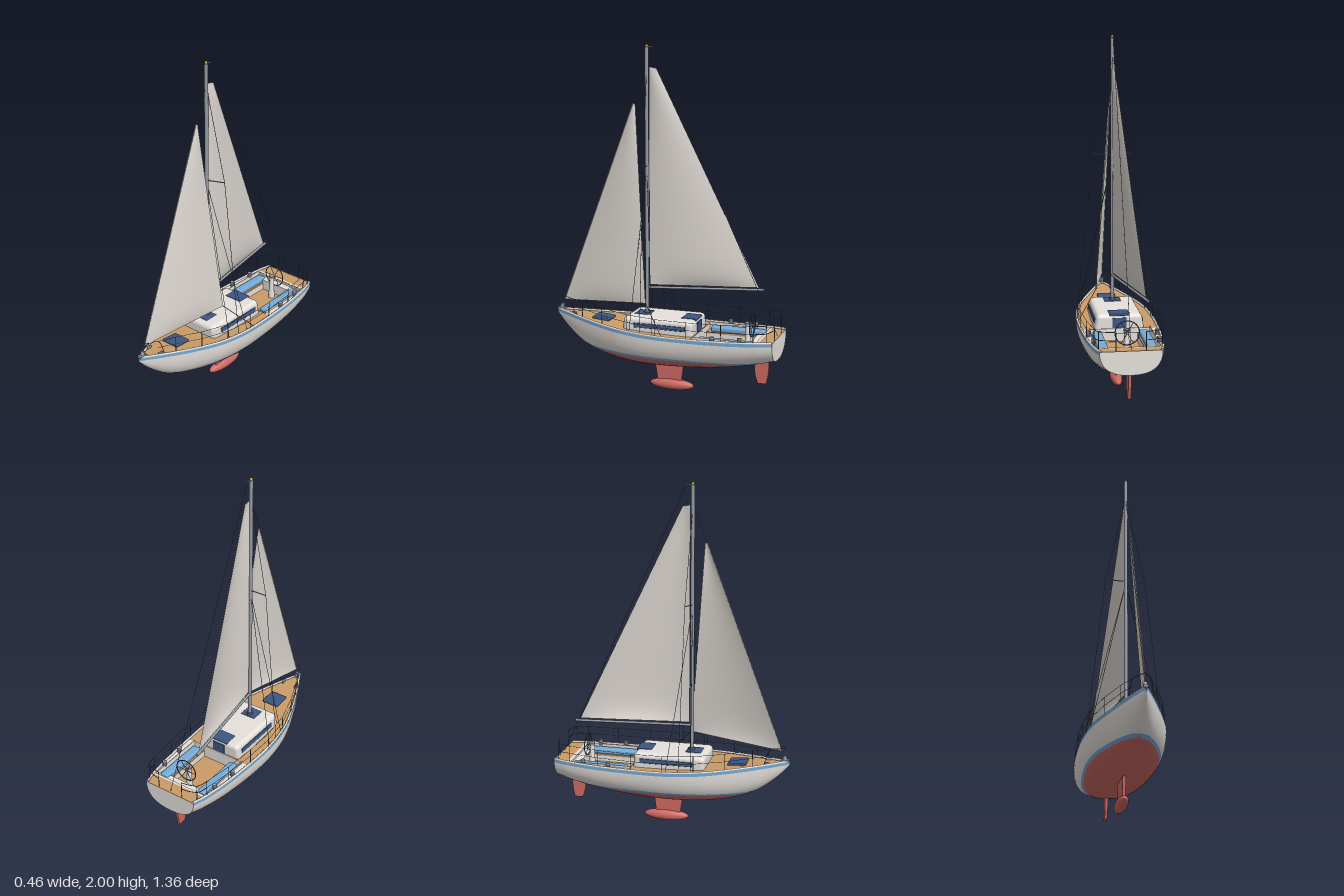
import * as THREE from 'three';
import { mergeVertices } from 'three/addons/utils/BufferGeometryUtils.js';
import { RoundedBoxGeometry } from 'three/addons/geometries/RoundedBoxGeometry.js';

const mat = (name, color, side = THREE.FrontSide) => new THREE.MeshStandardMaterial({ name, color, side });
const V = (x, y, z) => new THREE.Vector3(x, y, z);

// Smooth curve through [position, value] pairs
function curve(p) {
  const slope = i => {
    const a = p[Math.max(i - 1, 0)], b = p[Math.min(i + 1, p.length - 1)];
    return (b[1] - a[1]) / (b[0] - a[0]);
  };
  return z => {
    let i = 0;
    while (i < p.length - 2 && z > p[i + 1][0]) i++;
    const h = p[i + 1][0] - p[i][0], t = Math.min(1, Math.max(0, (z - p[i][0]) / h));
    const t2 = t * t, t3 = t2 * t;
    return p[i][1] * (2 * t3 - 3 * t2 + 1) + p[i + 1][1] * (3 * t2 - 2 * t3)
      + h * (slope(i) * (t3 - 2 * t2 + t) + slope(i + 1) * (t3 - t2));
  };
}

// Hull lines along z: half beam, deck edge height, bottom height
const STERN = -0.682, BOW = 0.682, POWER = 2.45;
const beam = curve([[-0.682, 0.167], [-0.6, 0.189], [-0.4, 0.214], [-0.1, 0.228], [0.05, 0.224], [0.2, 0.203],
  [0.3, 0.173], [0.4, 0.135], [0.5, 0.092], [0.6, 0.045], [0.682, 0.003]]);
const sheer = curve([[-0.682, 0.388], [-0.4, 0.379], [-0.1, 0.378], [0.1, 0.384], [0.4, 0.405], [0.682, 0.432]]);
const bottom = curve([[-0.682, 0.256], [-0.55, 0.223], [-0.4, 0.196], [-0.2, 0.174], [0, 0.166], [0.15, 0.17],
  [0.3, 0.187], [0.4, 0.21], [0.5, 0.25], [0.6, 0.325], [0.66, 0.385], [0.682, 0.412]]);

// Surface from a rule f(u, v) -> [x, y, z]
function sheet(f, nu, nv) {
  const pos = [], idx = [], w = nu + 1;
  for (let j = 0; j <= nv; j++) for (let i = 0; i <= nu; i++) pos.push(...f(i / nu, j / nv));
  for (let j = 0; j < nv; j++) for (let i = 0; i < nu; i++) {
    const a = j * w + i;
    idx.push(a, a + 1, a + w, a + 1, a + w + 1, a + w);
  }
  const g = new THREE.BufferGeometry();
  g.setAttribute('position', new THREE.Float32BufferAttribute(pos, 3));
  g.setIndex(idx);
  return g;
}

export function createModel() {
  const D = THREE.DoubleSide;
  const white = mat('hullWhite', 0xe6e1dc, D), sailCloth = mat('sailCloth', 0xdad4ce, D), teak = mat('teak', 0xcb9c66, D);
  const blue = mat('lightBlue', 0x74acda, D), navy = mat('navyGlass', 0x3c5683), red = mat('antifoulRed', 0xcd6963, D);
  const metal = mat('metal', 0x959aa3), dark = mat('darkWire', 0x545a65), rope = mat('rustRope', 0xa05a48), gold = mat('gold', 0xd6a044);
  const boat = new THREE.Group();
  boat.name = 'sailboat';

  const add = (name, geo, m, x = 0, y = 0, z = 0) => {
    const o = new THREE.Mesh(geo, m);
    o.name = name;
    o.position.set(x, y, z);
    boat.add(o);
    return o;
  };
  const box = (name, m, x0, x1, y0, y1, z0, z1) =>
    add(name, new THREE.BoxGeometry(x1 - x0, y1 - y0, z1 - z0), m, (x0 + x1) / 2, (y0 + y1) / 2, (z0 + z1) / 2);
  const rod = (name, a, b, r, m = dark, sides = 6) => {
    const o = add(name, new THREE.CylinderGeometry(r, r, a.distanceTo(b), sides), m);
    o.position.lerpVectors(a, b, 0.5);
    o.quaternion.setFromUnitVectors(V(0, 1, 0), b.clone().sub(a).normalize());
    return o;
  };
  const tube = (name, pts, r, m) => add(name, new THREE.TubeGeometry(new THREE.CatmullRomCurve3(pts), pts.length * 6, r, 6), m);

  // Hull skin: rows run from one deck edge round the bottom to the other
  const N = 8, half = 2 * N + 2;
  const rowY = (r, z) => {
    const s = sheer(z), k = bottom(z), top = Math.max(s - 0.018, k), boot = Math.max(0.25, k), low = Math.max(0.235, k);
    if (r === 0) return s;
    if (r <= N + 1) { const t = (r - 1) / N; return top + (boot - top) * (1 - (1 - t) ** 2); }
    const t = (r - N - 2) / N;
    return low + (k - low) * (1 - (1 - t) ** 2);
  };
  const width = (y, z) => {
    const t = Math.min(1, (sheer(z) - y) / (sheer(z) - bottom(z)));
    return beam(z) * Math.max(0, 1 - t ** POWER) ** (1 / POWER);
  };
  const NU = 90;
  let hull = sheet((u, v) => {
    const z = STERN + (BOW - STERN) * u, j = Math.round(v * half * 2);
    const y = rowY(j <= half ? j : 2 * half - j, z);
    return [(j <= half ? 1 : -1) * width(y, z), y, z];
  }, NU, half * 2);
  for (let j = 0; j < half * 2; j++) {
    const r = j < half ? j : 2 * half - 1 - j;
    hull.addGroup(j * NU * 6, NU * 6, r === 0 || r === N + 1 ? 1 : r <= N ? 0 : 2);
  }
  hull = mergeVertices(hull, 1e-5);
  hull.computeVertexNormals();
  add('hull', hull, [white, blue, red]);

  const surface = (name, f, nu, nv, m) => {
    const g = sheet(f, nu, nv);
    g.computeVertexNormals();
    return add(name, g, m);
  };
  surface('transom', (u, v) => {
    const c = Math.cos(Math.PI * u), s = sheer(STERN), k = bottom(STERN);
    const low = s - (s - k) * Math.max(0, 1 - Math.abs(c) ** POWER) ** (1 / POWER);
    return [beam(STERN) * c, low + (s - low) * v, STERN];
  }, 32, 1, white);

  // Decks, leaving a cockpit well open
  const WELL = 0.17, Z0 = -0.585, Z1 = -0.22;
  const deck = (name, z0, z1, xa, xb, m) => surface(name, (u, v) => {
    const z = z0 + (z1 - z0) * u, a = xa(z), b = xb(z);
    return [a + (b - a) * v, sheer(z) - 0.004, z];
  }, 30, 1, m);
  const port = z => beam(z) - 0.001, starboard = z => -port(z);
  deck('foredeck', Z1, 0.67, starboard, port, teak);
  deck('aftDeck', STERN, -0.6, starboard, port, teak);
  deck('aftCoaming', -0.6, Z0, starboard, port, white);
  deck('sideDeck', Z0, Z1, () => WELL, port, white);
  deck('sideDeck', Z0, Z1, starboard, () => -WELL, white);

  // Cockpit
  box('cockpitFloor', teak, -0.11, 0.11, 0.29, 0.3, Z0, Z1);
  box('cockpitAftSeat', white, -0.165, 0.165, 0.34, 0.365, Z0, -0.54);
  box('aftSeatFront', white, -0.1, 0.1, 0.3, 0.34, -0.55, -0.54);
  for (const z of [Z0, Z1]) box('cockpitBulkhead', white, -0.1, 0.1, 0.3, 0.378, z - 0.002, z + 0.002);
  for (const s of [-1, 1]) {
    const sideBox = (name, m, a, b, ...rest) => box(name, m, Math.min(a * s, b * s), Math.max(a * s, b * s), ...rest);
    sideBox('seat', teak, 0.1, WELL, 0.335, 0.345, Z0, Z1);
    sideBox('seatFront', white, 0.1, 0.11, 0.3, 0.335, Z0, Z1);
    sideBox('wellSide', white, WELL, WELL + 0.004, 0.345, 0.386, Z0, Z1);
    for (const z of [Z0, Z1]) sideBox('wellEnd', white, 0.1, WELL, 0.345, 0.378, z - 0.002, z + 0.002);
    add('cushion', new RoundedBoxGeometry(0.054, 0.034, 0.322, 3, 0.012), blue, s * 0.132, 0.36, -0.408);
    for (const [x, z] of [[0.179, -0.5], [0.192, -0.345]]) {
      add('winchBase', new THREE.CylinderGeometry(0.01, 0.014, 0.022, 16), dark, s * x, sheer(z) + 0.006, z);
      add('winchTop', new THREE.CylinderGeometry(0.013, 0.013, 0.008, 16), metal, s * x, sheer(z) + 0.021, z);
    }
  }

  // Steering pedestal and wheel
  add('pedestal', new THREE.CylinderGeometry(0.012, 0.02, 0.14, 16), white, 0, 0.37, -0.5);
  add('compass', new THREE.CylinderGeometry(0.019, 0.016, 0.016, 16), metal, 0, 0.445, -0.5);
  rod('wheelHub', V(0, 0.44, -0.5), V(0, 0.44, -0.532), 0.006, metal, 10);
  add('wheelRim', new THREE.TorusGeometry(0.066, 0.003, 8, 36), dark, 0, 0.44, -0.526);
  for (let i = 0; i < 3; i++) {
    const a = i * Math.PI / 3, c = Math.cos(a) * 0.066, d = Math.sin(a) * 0.066;
    rod('wheelSpoke', V(-c, 0.44 - d, -0.526), V(c, 0.44 + d, -0.526), 0.0018);
  }

  // Cabin with sides leaning inward
  const cabin = new RoundedBoxGeometry(0.3, 0.125, 0.42, 4, 0.025), cp = cabin.attributes.position;
  for (let i = 0; i < cp.count; i++) cp.setX(i, cp.getX(i) * (1 - 0.15 * (cp.getY(i) / 0.125 + 0.5)));
  add('cabin', cabin, white, 0, 0.3925, 0);
  for (const s of [-1, 1]) {
    const w = add('cabinWindow', new RoundedBoxGeometry(0.008, 0.026, 0.31, 2, 0.003), navy, s * 0.136, 0.412, -0.015);
    w.rotation.z = s * 0.18;
  }
  add('companionHatch', new RoundedBoxGeometry(0.112, 0.014, 0.09, 2, 0.005), navy, 0, 0.452, -0.165);
  box('companionDoor', navy, -0.04, 0.04, 0.375, 0.435, -0.214, -0.208);
  add('cabinHatch', new RoundedBoxGeometry(0.096, 0.012, 0.09, 2, 0.005), navy, 0, 0.453, 0.125);
  add('foreHatch', new RoundedBoxGeometry(0.108, 0.018, 0.106, 2, 0.006), navy, 0, sheer(0.38) + 0.001, 0.382).rotation.x = -0.08;

  // Keel fin and rudder: tapered thin blades in side profile
  const blade = (name, pts, t) => {
    const g = new THREE.ExtrudeGeometry(new THREE.Shape(pts.map(p => new THREE.Vector2(-p[0], p[1]))),
      { depth: t, bevelEnabled: true, bevelSize: 0.004, bevelThickness: 0.004, bevelSegments: 2 });
    g.translate(0, 0, -t / 2).rotateY(Math.PI / 2);
    return add(name, g, red);
  };
  blade('keelFin', [[0.058, 0.19], [-0.118, 0.19], [-0.1, 0.05], [0.035, 0.05]], 0.012);
  blade('rudder', [[-0.542, 0.245], [-0.624, 0.258], [-0.622, 0.17], [-0.61, 0.105], [-0.565, 0.105], [-0.55, 0.15]], 0.01);
  add('keelBulb', new THREE.SphereGeometry(1, 32, 20), red, 0, 0.038, -0.045).scale.set(0.034, 0.033, 0.134);

  // Mast, boom and spreaders
  const MZ = 0.108;
  rod('mast', V(0, 0.45, MZ), V(0, 1.985, MZ), 0.011, metal, 16);
  add('mastCollar', new THREE.CylinderGeometry(0.016, 0.02, 0.016, 16), dark, 0, 0.464, MZ);
  add('mastheadLight', new THREE.SphereGeometry(0.009, 12, 8), gold, 0, 1.991, MZ);
  rod('mastheadCrane', V(0, 1.985, MZ), V(0, 1.985, 0.07), 0.004, metal);
  rod('boom', V(0, 0.607, MZ), V(-0.107, 0.62, -0.563), 0.0075, metal, 12);

  // Sails: four corners with a belly toward one side
  const sail = (name, tack, clew, head, headAft, belly) => surface(name, (u, v) => {
    const p = tack.clone().lerp(head, v).lerp(clew.clone().lerp(headAft, v), u);
    p.x += belly * 4 * u * (1 - u) * (1 - (2 * v - 1) ** 10) * (1 - 0.5 * v);
    return p.toArray();
  }, 30, 60, sailCloth);
  sail('mainsail', V(0, 0.623, 0.094), V(-0.1, 0.632, -0.535), V(0, 1.875, 0.094), V(0, 1.868, 0.05), 0.03);
  sail('jib', V(0, 0.49, 0.636), V(0.098, 0.535, 0.082), V(0, 1.67, 0.192), V(0, 1.665, 0.178), 0.02);

  // Standing rigging and sheet
  rod('forestayLower', V(0, 0.44, 0.655), V(0, 1.67, 0.192), 0.003, metal);
  rod('forestayUpper', V(0, 1.67, 0.192), V(0, 1.87, MZ), 0.0016);
  rod('backstay', V(0, 1.985, 0.07), V(0, 0.39, -0.672), 0.0016);
  rod('jibSheet', V(0.098, 0.535, 0.082), V(0.212, 0.388, -0.05), 0.002, rope);
  for (const s of [-1, 1]) {
    const tip = V(s * 0.115, 1.328, 0.09);
    rod('spreader', V(0, 1.315, MZ), tip, 0.003, metal);
    rod('upperShroud', V(0, 1.87, MZ), tip, 0.0015);
    rod('middleShroud', tip, V(s * 0.212, 0.388, 0.075), 0.0015);
    for (const z of [0, 0.145]) rod('lowerShroud', V(0, 1.3, MZ), V(s * (beam(z) - 0.012), sheer(z), z), 0.0015);
  }

  // Toe rail, stanchions, lifelines and end rails
  const H = 0.1;
  const railAt = (s, z, h) => V(s * Math.max(0, beam(z) - 0.008), sheer(z) + h, z);
  for (const s of [-1, 1]) {
    const edge = Array.from({ length: 21 }, (_, i) => railAt(s, STERN + 0.003 + i * 0.0677, 0.001));
    tube('toeRail', edge, 0.007, white);
    const posts = [-0.58, -0.4, -0.2, -0.02, 0.16, 0.33, 0.48];
    posts.forEach((z, i) => {
      rod('stanchion', railAt(s, z, 0), railAt(s, z, H), 0.002);
      if (i) for (const h of [H, H * 0.55]) rod('lifeline', railAt(s, posts[i - 1], h), railAt(s, z, h), 0.0012);
    });
    for (const h of [H, H * 0.55]) {
      tube('sternRail', [railAt(s, -0.58, h), railAt(s, -0.64, h), V(s * 0.13, 0.388 + h, -0.663), V(s * 0.08, 0.388 + h, -0.674)], 0.002, dark);
      rod('bowLifeline', railAt(s, 0.48, h), railAt(s, 0.58, h * 0.9), 0.0012);
    }
    rod('sternPost', railAt(s, -0.65, 0), railAt(s, -0.65, H), 0.002);
    rod('sternPost', V(s * 0.08, 0.385, -0.674), V(s * 0.08, 0.488, -0.674), 0.002);
    tube('bowRail', [railAt(s, 0.54, 0), railAt(s, 0.575, 0.09), railAt(s, 0.62, 0.086), V(0, 0.513, 0.66)], 0.002, dark);
    box('cleat', metal, s * 0.045 - 0.004, s * 0.045 + 0.004, 0.415, 0.432, 0.54, 0.57);
  }
  rod('furlerDrum', V(0, 0.44, 0.655), V(0, 0.462, 0.647), 0.012, metal, 14);
  box('bowRoller', metal, -0.012, 0.012, 0.428, 0.442, 0.63, 0.678);

  return boat;
}
